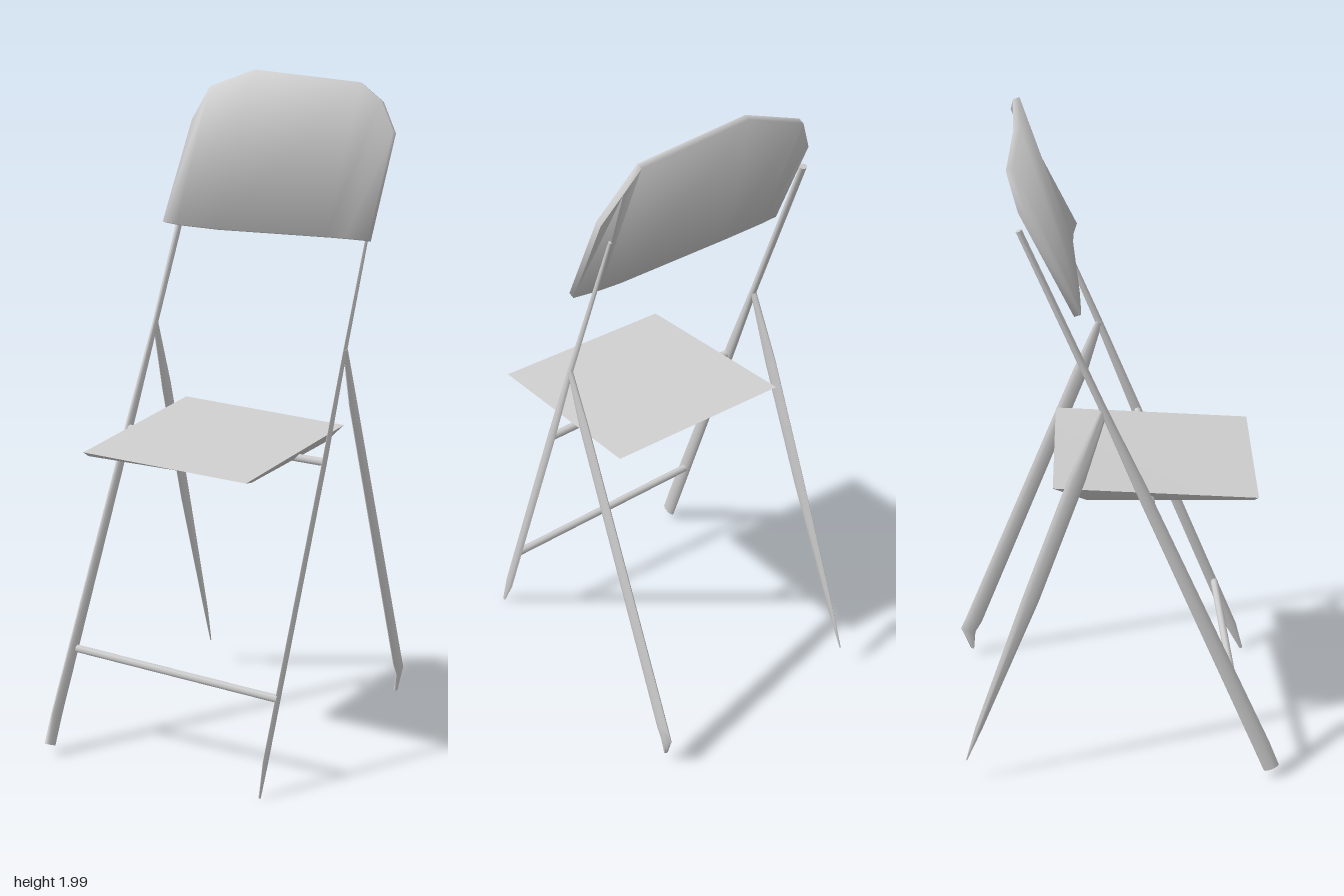
import * as THREE from 'three';
import { toCreasedNormals } from 'three/addons/utils/BufferGeometryUtils.js';

const V = (a) => new THREE.Vector3(...a);
const SIDE = V([0.55, 0, 0.835]).normalize(); // across the chair, which stands turned

// Closed solid through a list of rings with equal point counts
function loft(rings, crease) {
  const n = rings[0].length;
  const pts = rings.flat();
  const idx = [];
  for (let r = 0; r < rings.length - 1; r++) {
    for (let i = 0; i < n; i++) {
      const a = r * n + i, b = r * n + (i + 1) % n;
      idx.push(a, b, b + n, a, b + n, a + n);
    }
  }
  const last = (rings.length - 1) * n;
  for (let i = 1; i < n - 1; i++) {
    idx.push(0, i + 1, i, last, last + i, last + i + 1);
  }
  // Turn the faces outward if the rings run the other way
  let volume = 0;
  for (let i = 0; i < idx.length; i += 3) {
    volume += pts[idx[i]].dot(pts[idx[i + 1]].clone().cross(pts[idx[i + 2]]));
  }
  if (volume < 0) idx.reverse();
  const geo = new THREE.BufferGeometry().setFromPoints(pts);
  geo.setIndex(idx);
  return toCreasedNormals(geo, crease);
}

// Flattened tube; each station is [x, y, z, width, thickness]
function flatTube(stations) {
  const p = stations.map((s) => V(s.slice(0, 3)));
  const dir = p[p.length - 1].clone().sub(p[0]).normalize();
  const wide = dir.clone().cross(SIDE).normalize();
  const thin = wide.clone().cross(dir).normalize();
  return loft(stations.map((s, k) => Array.from({ length: 10 }, (_, i) => {
    const a = (i / 10) * Math.PI * 2;
    return p[k].clone()
      .addScaledVector(wide, Math.cos(a) * s[3] / 2)
      .addScaledVector(thin, Math.sin(a) * s[4] / 2);
  })), 1.2);
}

export function createModel() {
  const group = new THREE.Group();
  const grey = new THREE.MeshStandardMaterial({ color: 0xcecece });
  grey.name = 'light grey metal';
  const add = (name, geometry) => {
    const mesh = new THREE.Mesh(geometry, grey);
    mesh.name = name;
    group.add(mesh);
  };

  // Front legs run up to become the backrest posts
  add('rightFrontLeg', flatTube([
    [-0.58, 0.035, -0.053, 0.05, 0.024], [-0.55, 0.12, -0.068, 0.052, 0.022],
    [-0.21, 0.99, -0.218, 0.036, 0.018], [-0.112, 1.24, -0.262, 0.022, 0.016],
    [0.095, 1.78, -0.362, 0.018, 0.022],
  ]));
  add('leftFrontLeg', flatTube([
    [-0.195, 0.006, 0.535, 0.01, 0.006], [-0.165, 0.1, 0.515, 0.034, 0.008],
    [0.12, 0.92, 0.358, 0.032, 0.008], [0.22, 1.22, 0.3, 0.022, 0.008],
    [0.41, 1.76, 0.19, 0.012, 0.006],
  ]));

  // Rear legs fold out from the front legs
  add('leftRearLeg', flatTube([
    [0.22, 1.22, 0.3, 0.022, 0.012], [0.27, 1.05, 0.266, 0.045, 0.016],
    [0.575, 0.14, 0.07, 0.055, 0.018], [0.592, 0.1, 0.06, 0.05, 0.016],
    [0.578, 0.035, 0.06, 0.012, 0.012],
  ]));
  add('rightRearLeg', flatTube([
    [-0.112, 1.245, -0.262, 0.022, 0.014], [-0.05, 1.03, -0.312, 0.05, 0.016],
    [0.06, 0.64, -0.4, 0.05, 0.014], [0.19, 0.2, -0.503, 0.022, 0.008],
    [0.222, 0.085, -0.53, 0.004, 0.004],
  ]));

  // Crossbars between the front legs
  const bars = {
    footBar: [[-0.47, 0.305, -0.1], [-0.11, 0.272, 0.488]],
    seatBar: [[-0.235, 0.935, -0.205], [0.115, 0.91, 0.362]],
  };
  for (const [name, [a, b]] of Object.entries(bars)) {
    add(name, new THREE.TubeGeometry(new THREE.LineCurve3(V(a), V(b)), 1, 0.012, 8));
  }

  // Seat: thin front lip, deeper at the rear, with softly shaded edges
  add('seat', loft([
    [[-0.48, 0.932, 0], [-0.21, 0.915, 0.48], [-0.17, 0.903, 0.44], [-0.465, 0.92, 0.003]].map(V),
    [[0.025, 0.984, -0.322], [0.302, 0.96, 0.168], [0.235, 0.915, 0.17], [-0.045, 0.93, -0.25]].map(V),
  ], 1.8));

  // Backrest: slightly bowed panel as columns of [bottom, top]
  const columns = [
    [[-0.055, 1.54, -0.308], [0.08, 1.84, -0.37]],
    [[-0.03, 1.535, -0.265], [0.13, 1.94, -0.345]],
    [[0.04, 1.53, -0.15], [0.2, 1.996, -0.19]],
    [[0.24, 1.53, 0.16], [0.385, 1.968, 0.11]],
    [[0.272, 1.53, 0.22], [0.425, 1.918, 0.16]],
    [[0.302, 1.53, 0.292], [0.43, 1.83, 0.22]],
  ];
  const front = V([-0.82, 0.31, 0.49]).setLength(0.01);
  add('backrest', loft(columns.map(([b, t]) => [
    V(b).add(front), V(t).add(front), V(t).sub(front), V(b).sub(front),
  ]), 1.8));

  return group;
}
